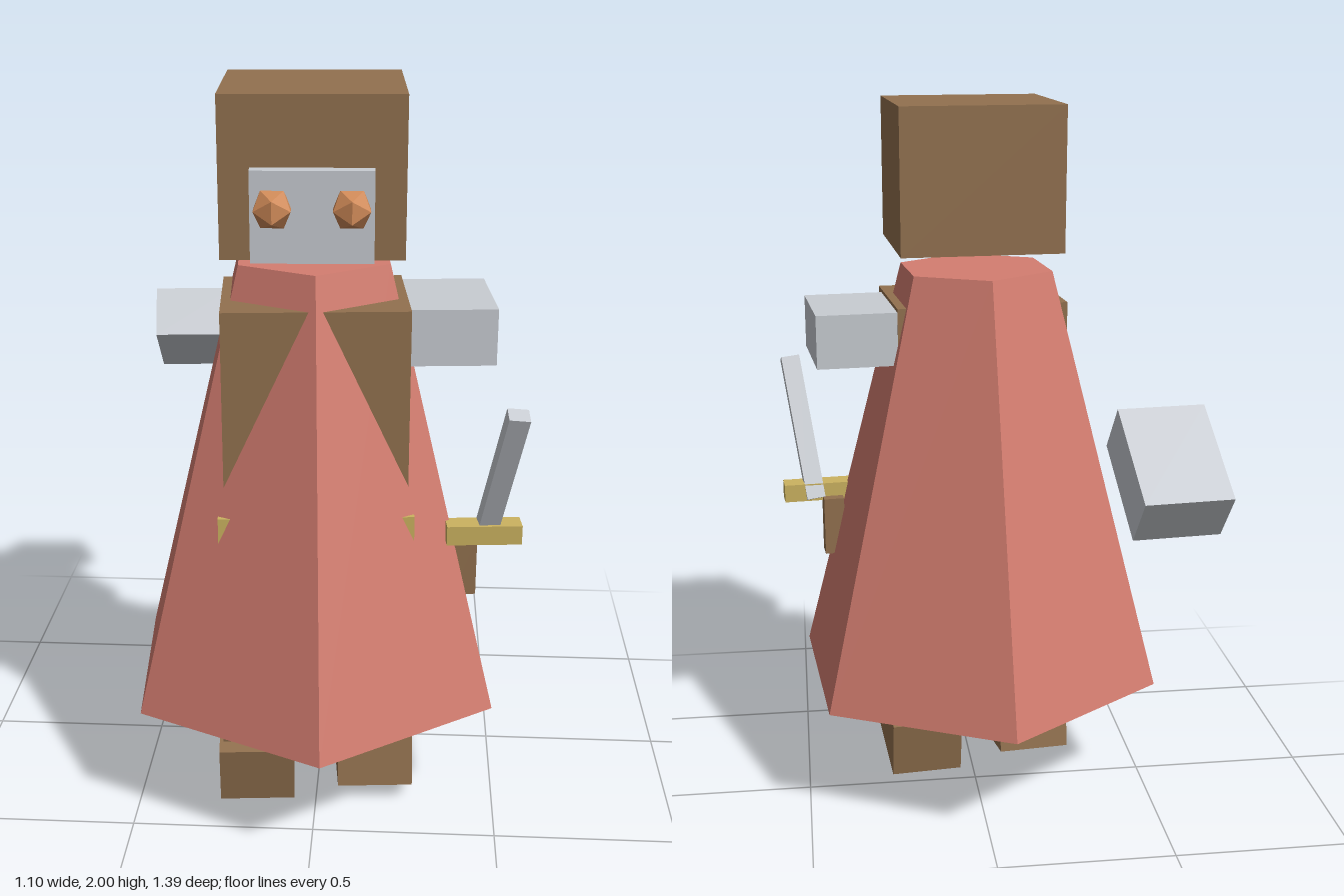
import * as THREE from 'three';

const flat = (name, color) => {
  const m = new THREE.MeshStandardMaterial({ color, flatShading: true });
  m.name = name;
  return m;
};

export function createModel() {
  const brown = flat('brown', 0x92714f);
  const red = flat('faded red', 0xd47d70);
  const steel = flat('steel', 0xc8ccd2);
  const gold = flat('gold', 0xcbb260);
  const copper = flat('copper', 0xd08a58);

  const model = new THREE.Group();
  model.name = 'figure';

  const add = (parent, name, geometry, material, pos, rot = [0, 0, 0]) => {
    const mesh = new THREE.Mesh(geometry, material);
    mesh.name = name;
    mesh.position.set(...pos);
    mesh.rotation.set(...rot);
    parent.add(mesh);
    return mesh;
  };
  const box = (parent, name, size, material, pos, rot) =>
    add(parent, name, new THREE.BoxGeometry(...size), material, pos, rot);

  // Body, turned slightly to its left
  const body = new THREE.Group();
  body.name = 'body';
  body.position.set(-0.0175, 0, 0.139);
  body.rotation.y = 0.0855;
  model.add(body);

  // Six-sided cloak with the torso and belt poking through
  add(body, 'cloak', new THREE.CylinderGeometry(0.226, 0.556, 1.215, 6), red, [0, 0.9375, 0]);
  box(body, 'torso', [0.483, 0.65, 0.35], brown, [0, 1.13, 0.065]);
  box(body, 'belt', [0.515, 0.1, 0.41], gold, [0, 0.855, 0.065]);

  // Shoulder pieces: one at the shoulder, one swung out behind
  const shoulder = [0.23, 0.15, 0.3];
  box(body, 'leftShoulder', shoulder, steel, [0.352, 1.37, 0.043]);
  box(body, 'rightShoulder', shoulder, steel, [-0.352, 1.133, -0.698], [-0.623, 0, 0]);

  // Legs in mid-stride, each a boot with a shin above it
  for (const [side, s, pitch, z] of [['left', 1, -0.154, 0.0625], ['right', -1, 0.165, 0.075]]) {
    const leg = new THREE.Group();
    leg.name = side + 'Leg';
    leg.position.set(0.167 * s, 0.113, z);
    leg.rotation.x = pitch;
    body.add(leg);
    box(leg, side + 'Boot', [0.21, 0.175, 0.3], brown, [0, 0, 0]);
    box(leg, side + 'Shin', [0.19, 0.4, 0.21], brown, [0, 0.25, 0]);
  }

  // Sword at the left side
  const sword = new THREE.Group();
  sword.name = 'sword';
  body.add(sword);
  box(sword, 'blade', [0.055, 0.44, 0.045], steel, [0.478, 1.02, 0.281], [0.39, 0, -0.113]);
  box(sword, 'guard', [0.2, 0.053, 0.06], gold, [0.446, 0.84, 0.222]);
  box(sword, 'handle', [0.06, 0.175, 0.055], brown, [0.402, 0.738, 0.188]);

  // Head with a face plate and two faceted eyes
  const head = new THREE.Group();
  head.name = 'head';
  head.position.set(-0.0125, 1.8, 0.207);
  head.rotation.y = 0.048;
  model.add(head);
  box(head, 'skull', [0.455, 0.4, 0.43], brown, [0, 0, 0]);
  box(head, 'facePlate', [0.3, 0.225, 0.038], steel, [0, -0.085, 0.239]);
  for (const s of [1, -1]) {
    add(head, s > 0 ? 'leftEye' : 'rightEye', new THREE.IcosahedronGeometry(0.053, 0), copper,
      [0.095 * s, -0.063, 0.268]);
  }

  return model;
}
